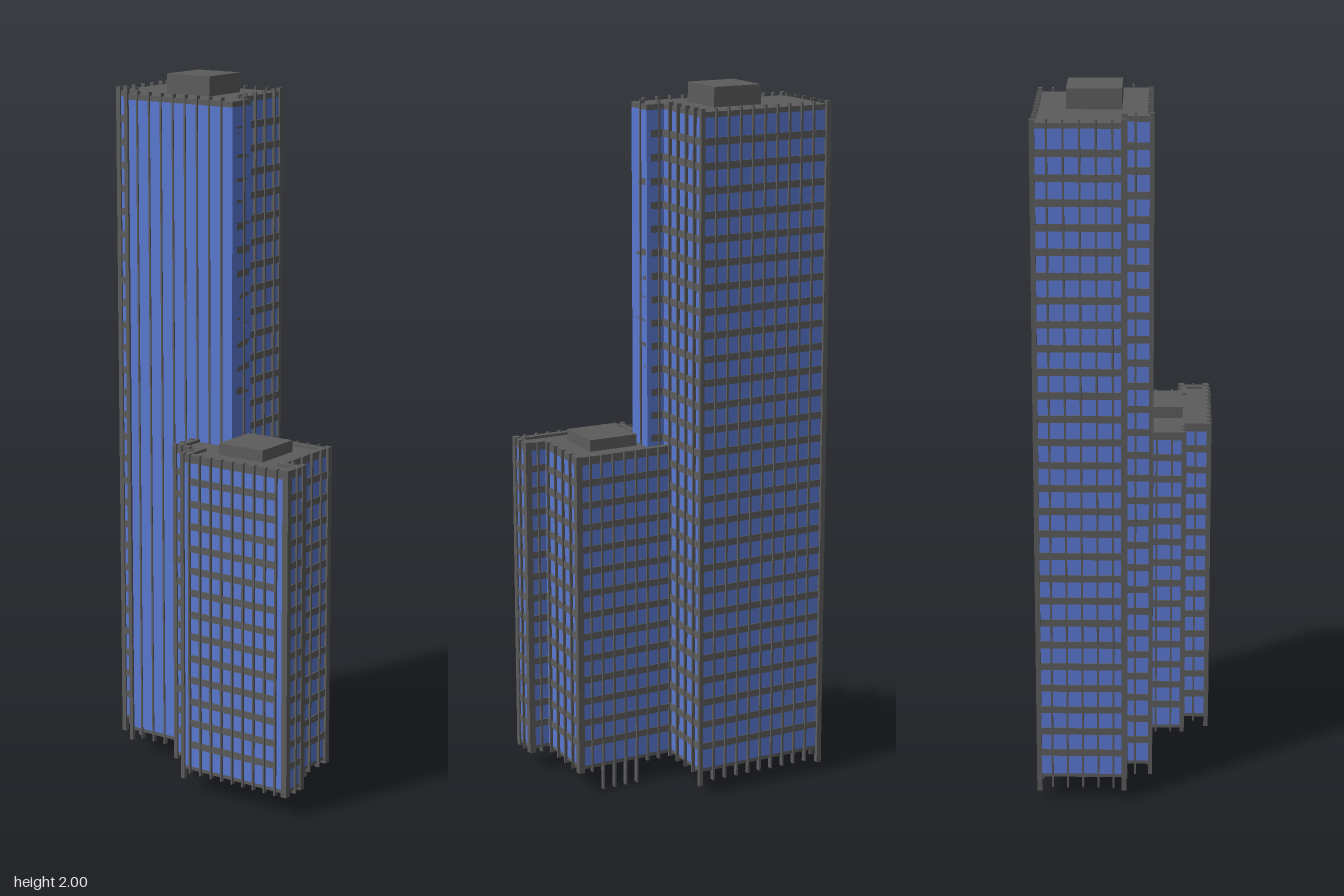
import * as THREE from 'three';
import { mergeGeometries } from 'three/addons/utils/BufferGeometryUtils.js';

const glass = new THREE.MeshStandardMaterial({ color: 0x5a78d2 });
glass.name = 'blueGlass';
const concrete = new THREE.MeshStandardMaterial({ color: 0x5c5c5c });
concrete.name = 'greyConcrete';

// Box from its min and max corners
function box(x0, y0, z0, x1, y1, z1) {
  const g = new THREE.BoxGeometry(x1 - x0, y1 - y0, z1 - z0);
  g.translate((x0 + x1) / 2, (y0 + y1) / 2, (z0 + z1) / 2);
  return g;
}

// Upright prism over a floor plan of [x, z] points
function prism(plan, y0, y1) {
  const shape = new THREE.Shape(plan.map(([x, z]) => new THREE.Vector2(x, -z)));
  const g = new THREE.ExtrudeGeometry(shape, { depth: y1 - y0, bevelEnabled: false });
  g.rotateX(-Math.PI / 2);
  g.translate(0, y0, 0);
  return g;
}

// Bar centred on a wall line, running along x or z from a to b
function wallBar(axis, at, a, b, y0, y1, depth) {
  const h = depth / 2;
  return axis === 'x' ? box(a, y0, at - h, b, y1, at + h) : box(at - h, y0, a, at + h, y1, b);
}

function add(group, name, geometries, material) {
  const mesh = new THREE.Mesh(mergeGeometries(geometries), material);
  mesh.name = name;
  group.add(mesh);
}

// wall: axis, fixed coordinate, band start and end, mullion first, last and count, mullion foot
function buildTower(spec) {
  const tower = new THREE.Group();
  tower.name = spec.name;
  const { plan, top, pitch, floors } = spec;
  add(tower, 'glassBody', [prism(plan, 0.08, top - 0.015)], glass);
  add(tower, 'baseSlab', [prism(plan, 0.07, 0.08)], concrete);
  add(tower, 'roofSlab', [prism(plan, top - 0.015, top)], concrete);
  const bands = [], mullions = [];
  for (const [axis, at, a, b, m0, m1, count, foot] of spec.walls) {
    for (let i = 0; i < floors; i++) {
      const y = 0.147 + i * pitch;
      bands.push(wallBar(axis, at, a, b, y - 0.01, y + 0.01, 0.006));
    }
    for (let i = 0; i < count; i++) {
      const p = count > 1 ? m0 + ((m1 - m0) * i) / (count - 1) : m0;
      mullions.push(wallBar(axis, at, p - 0.0027, p + 0.0027, foot, spec.finTop, 0.014));
    }
  }
  add(tower, 'floorBands', bands, concrete);
  add(tower, 'mullions', mullions, concrete);
  // Corner columns: x, z, foot, half width
  add(tower, 'cornerColumns', spec.columns.map(([x, z, foot, r]) =>
    box(x - r, foot, z - r, x + r, spec.finTop, z + r)), concrete);
  const [x0, z0, x1, z1] = spec.penthouse;
  add(tower, 'rooftopPlantRoom', [box(x0, top - 0.002, z0, x1, spec.penthouseTop, z1)], concrete);
  return tower;
}

export function createModel() {
  const model = new THREE.Group();
  model.name = 'twinTowerBlock';

  model.add(buildTower({
    name: 'tallTower',
    plan: [[-0.37, -0.234], [0.02, -0.234], [0.02, -0.017], [0.073, -0.017],
      [0.073, 0.072], [-0.286, 0.072], [-0.286, 0.002], [-0.37, 0.002]],
    top: 1.945, finTop: 1.955, pitch: 0.0661, floors: 27,
    walls: [
      ['x', -0.234, -0.37, 0.02, -0.325, -0.021, 9, 0.04],
      ['z', -0.37, -0.234, 0.002, -0.2, -0.029, 5, 0.04],
      ['x', 0.002, -0.37, -0.286, -0.337, -0.307, 2, 0.05],
      ['z', -0.286, 0.002, 0.072, 0.03, 0.03, 1, 0.04],
      ['x', 0.068, -0.25, 0.037, -0.25, 0.037, 8, 0.05],
      ['z', 0.07, -0.01, 0.05, 0.018, 0.018, 1, 0.07],
      ['x', -0.015, 0.02, 0.06, 0.036, 0.036, 1, 0.07],
      ['z', 0.022, -0.234, -0.017, -0.2, -0.06, 4, 0.06],
    ],
    columns: [[-0.37, -0.237, 0.03, 0.007], [0.02, -0.234, 0.03, 0.006],
      [-0.368, 0, 0.03, 0.007], [-0.286, 0.073, 0.04, 0.006]],
    penthouse: [-0.206, -0.155, -0.06, -0.007], penthouseTop: 2,
  }));

  const low = buildTower({
    name: 'lowTower',
    plan: [[0.02, -0.058], [0.31, -0.058], [0.31, 0.153], [0.368, 0.153], [0.368, 0.235],
      [0.02, 0.235], [0.02, 0.164], [-0.056, 0.164], [-0.056, 0.072],
      [0.073, 0.072], [0.073, -0.017], [0.02, -0.017]],
    top: 0.982, finTop: 0.993, pitch: 0.064, floors: 13,
    walls: [
      ['x', -0.058, 0.02, 0.31, 0.061, 0.097, 2, 0.06],
      ['x', -0.058, 0.02, 0.31, 0.132, 0.24, 4, 0],
      ['x', -0.058, 0.02, 0.31, 0.275, 0.275, 1, 0.06],
      ['z', 0.311, -0.058, 0.153, -0.013, 0.128, 4, 0.06],
      ['x', 0.152, 0.31, 0.368, 0.335, 0.335, 1, 0.06],
      ['z', 0.368, 0.153, 0.235, 0.192, 0.192, 1, 0.06],
      ['x', 0.235, 0.045, 0.335, 0.045, 0.335, 9, 0.06],
      ['z', 0.019, 0.164, 0.235, 0.197, 0.197, 1, 0.06],
      ['x', 0.164, -0.056, 0.02, -0.032, -0.005, 2, 0.06],
      ['z', -0.056, 0.072, 0.164, 0.087, 0.13, 2, 0.06],
    ],
    columns: [[0.309, -0.054, 0.06, 0.009], [0.364, 0.157, 0.06, 0.009],
      [0.364, 0.229, 0.06, 0.009], [0.021, 0.234, 0.04, 0.006], [-0.056, 0.163, 0.06, 0.006]],
    penthouse: [0.09, 0.015, 0.237, 0.16], penthouseTop: 1.015,
  });

  // Raised parapet round the open roof edges
  const t = 0.018, p0 = 0.98, p1 = 0.99;
  add(low, 'parapet', [
    box(0.02, p0, -0.058, 0.31, p1, -0.058 + t),
    box(0.31 - t, p0, -0.058, 0.31, p1, 0.153 + t),
    box(0.31 - t, p0, 0.153, 0.368, p1, 0.153 + t),
    box(0.368 - t, p0, 0.153, 0.368, p1, 0.235),
    box(0.02, p0, 0.235 - t, 0.368, p1, 0.235),
    box(0.02, p0, 0.164 - t, 0.02 + t, p1, 0.235),
    box(-0.056, p0, 0.164 - t, 0.02 + t, p1, 0.164),
    box(-0.056, p0, 0.072, -0.056 + t, p1, 0.164),
  ], concrete);
  model.add(low);
  return model;
}
